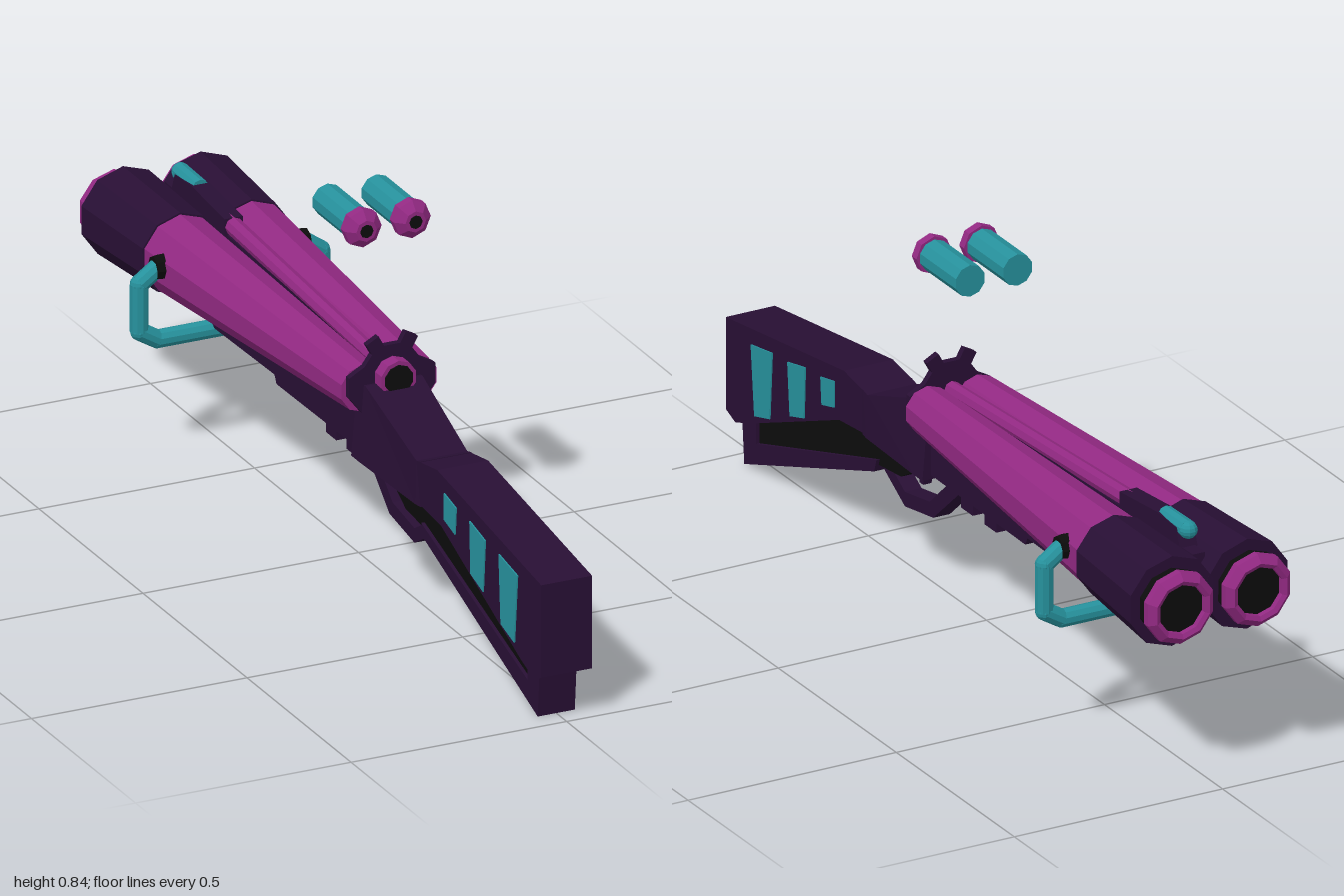
import * as THREE from 'three';

const mat = (name, color) => new THREE.MeshStandardMaterial({ name, color, flatShading: true });

export function createModel() {
  const purple = mat('dark purple', 0x280f34);
  const pink = mat('magenta', 0x922982);
  const teal = mat('teal', 0x26919c);
  const black = mat('black', 0x0c0c0c);
  const model = new THREE.Group();

  const add = (name, geometry, material) => {
    const mesh = new THREE.Mesh(geometry, material);
    mesh.name = name;
    model.add(mesh);
    return mesh;
  };
  const box = (name, material, w, h, d, x, y, z) => {
    const mesh = add(name, new THREE.BoxGeometry(w, h, d), material);
    mesh.position.set(x, y, z);
    return mesh;
  };
  // Side outline in [z, y], extruded across x and centred on cx
  const outline = (pts) => pts.map(([z, y]) => new THREE.Vector2(-z, y));
  const slab = (name, material, pts, width, cx = 0, hole = null) => {
    const shape = new THREE.Shape(outline(pts));
    if (hole) shape.holes.push(new THREE.Path(outline(hole)));
    const g = new THREE.ExtrudeGeometry(shape, { depth: width, bevelEnabled: false });
    g.translate(0, 0, -width / 2).rotateY(Math.PI / 2).translate(cx, 0, 0);
    return add(name, g, material);
  };
  // Tapered rod from a (radius ra) to b (radius rb)
  const rod = (name, material, a, b, ra, rb = ra, sides = 10) => {
    const from = new THREE.Vector3(...a), to = new THREE.Vector3(...b);
    const g = new THREE.CylinderGeometry(rb, ra, from.distanceTo(to), sides).rotateX(Math.PI / 2);
    const mesh = add(name, g, material);
    mesh.position.copy(from).lerp(to, 0.5);
    mesh.lookAt(to);
    return mesh;
  };
  // Loft of trapezoid sections [z, yBottom, yTop, halfBottom, halfTop], running from +z to -z
  const loft = (name, material, sections) => {
    const pos = [], idx = [];
    for (const [z, y0, y1, b, t] of sections) pos.push(-b, y0, z, b, y0, z, t, y1, z, -t, y1, z);
    for (let i = 0; i < sections.length - 1; i++) {
      for (let k = 0; k < 4; k++) {
        const a = i * 4 + k, c = i * 4 + (k + 1) % 4;
        idx.push(a, a + 4, c, c, a + 4, c + 4);
      }
    }
    const e = (sections.length - 1) * 4;
    idx.push(0, 1, 2, 0, 2, 3, e, e + 2, e + 1, e, e + 3, e + 2);
    const g = new THREE.BufferGeometry();
    g.setAttribute('position', new THREE.Float32BufferAttribute(pos, 3));
    g.setIndex(idx);
    g.computeVertexNormals();
    return add(name, g, material);
  };

  // Stock: wide upper body, narrow lower bar, black core between them
  slab('stockBody', purple, [[1, 0.32], [0.5, 0.39], [0.41, 0.375], [0.41, 0.28], [0.52, 0.27],
    [0.9, 0.115], [0.96, 0.095], [1, 0.11]], 0.118);
  slab('stockLowerBar', purple, [[0.96, 0.12], [0.95, 0], [0.4, 0.195], [0.39, 0.225], [0.9, 0.065], [0.9, 0.13]], 0.086);
  slab('stockCore', black, [[0.93, 0.12], [0.93, 0.05], [0.4, 0.21], [0.3, 0.22], [0.18, 0.29], [0.41, 0.33], [0.55, 0.3]], 0.07);

  // Receiver tapering from the wrist up to the breech
  loft('receiver', purple, [[0.42, 0.275, 0.378, 0.059, 0.059], [0.4, 0.275, 0.373, 0.062, 0.059],
    [0.17, 0.285, 0.455, 0.08, 0.066], [0.13, 0.285, 0.45, 0.08, 0.066]]);

  // Trigger guard and trigger
  slab('triggerGuard', purple, [[0.43, 0.235], [0.43, 0.215], [0.31, 0.145], [0.19, 0.165], [0.07, 0.27], [0.09, 0.31], [0.4, 0.27]],
    0.04, 0, [[0.385, 0.222], [0.31, 0.178], [0.205, 0.196], [0.125, 0.268], [0.2, 0.268], [0.3, 0.235]]);
  slab('trigger', purple, [[0.27, 0.28], [0.235, 0.28], [0.25, 0.215], [0.265, 0.215]], 0.02);

  // Forend under the barrels with two small lugs
  slab('forend', purple, [[0.14, 0.42], [0.14, 0.295], [-0.27, 0.29], [-0.28, 0.308], [-0.57, 0.302], [-0.61, 0.34], [-0.61, 0.42]], 0.12);
  box('forendLug', purple, 0.06, 0.05, 0.05, 0, 0.268, 0.03);
  box('forendLug', purple, 0.06, 0.05, 0.05, 0, 0.268, -0.07);

  // Breech plate with teeth and a ringed bore
  const plate = new THREE.Shape([[-0.065, 0.385], [0.065, 0.385], [0.1, 0.43], [0.1, 0.475], [0.064, 0.495],
    [0.035, 0.535], [-0.035, 0.535], [-0.064, 0.495], [-0.1, 0.475], [-0.1, 0.43]].map(p => new THREE.Vector2(...p)));
  add('breechPlate', new THREE.ExtrudeGeometry(plate, { depth: 0.015, bevelEnabled: false }).translate(0, 0, 0.147), purple);
  for (const s of [-1, 1]) {
    const tooth = box('breechTooth', purple, 0.032, 0.04, 0.015, s * 0.036, 0.533, 0.1545);
    tooth.rotation.z = -s * 0.5;
  }
  rod('breechRing', pink, [0, 0.467, 0.15], [0, 0.467, 0.193], 0.042);
  rod('breechBore', black, [0, 0.467, 0.17], [0, 0.467, 0.196], 0.033);

  // Muzzle ring profile, revolved about the bore
  const ringProfile = [[0.056, -0.02], [0.056, 0.03], [0.066, 0.035], [0.082, 0.02], [0.082, 0.004], [0.074, 0]]
    .reverse().map(p => new THREE.Vector2(...p));
  ringProfile.reverse();
  const ringGeometry = new THREE.LatheGeometry(ringProfile, 10).rotateX(-Math.PI / 2);
  const ringMaterial = pink;
  ringMaterial.side = THREE.DoubleSide;

  for (const s of [-1, 1]) {
    // Flared barrel, its dark sleeve and the muzzle
    const axis = (z) => { const t = (0.145 - z) / 1.09; return [s * (0.06 + 0.03 * t), 0.44 - 0.012 * t, z]; };
    const radius = (z) => 0.053 + 0.047 * (0.145 - z) / 1.09;
    rod('barrel', pink, axis(0.145), axis(-0.9), radius(0.145), radius(-0.9));
    rod('barrelSleeve', purple, axis(-0.685), axis(-0.945), radius(-0.685) + 0.004, 0.103);
    rod('muzzleCollar', black, [s * 0.093, 0.428, -0.93], [s * 0.093, 0.428, -0.968], 0.077);
    const ring = add('muzzleRing', ringGeometry, ringMaterial);
    ring.position.set(s * 0.093, 0.428, -0.965);
    rod('muzzleBore', black, [s * 0.093, 0.428, -0.95], [s * 0.093, 0.428, -0.982], 0.058);

    // Inlaid windows on each side of the stock
    for (const pts of [
      [[0.89, 0.3], [0.875, 0.142], [0.81, 0.16], [0.8, 0.315]],
      [[0.735, 0.32], [0.725, 0.2], [0.665, 0.218], [0.66, 0.336]],
      [[0.595, 0.34], [0.59, 0.278], [0.537, 0.292], [0.537, 0.352]],
    ]) slab('stockWindow', teal, pts, 0.006, s * 0.059);

    // Handle pivot and side arm
    rod('handlePivot', black, [s * 0.14, 0.442, -0.617], [s * 0.178, 0.442, -0.617], 0.031, 0.025, 8);
    const path = [[s * 0.168, 0.442, -0.617], [s * 0.211, 0.412, -0.617], [s * 0.211, 0.305, -0.617],
      [s * 0.17, 0.28, -0.617], [0, 0.28, -0.617]];
    for (let i = 0; i < path.length - 1; i++) {
      rod('handle', teal, path[i], path[i + 1], 0.02);
      if (i > 0) add('handleCorner', new THREE.SphereGeometry(0.02, 10, 8), teal).position.set(...path[i]);
    }

    // Floating cartridge
    const x = s * 0.057, y = 0.8;
    rod('cartridgeCase', teal, [x, y, -0.032], [x, y, 0.125], 0.036);
    rod('cartridgeRim', pink, [x, y, 0.12], [x, y, 0.14], 0.043, 0.043, 8);
    rod('cartridgeBase', pink, [x, y, 0.14], [x, y, 0.157], 0.043, 0.024, 8);
    rod('cartridgePrimer', black, [x, y, 0.15], [x, y, 0.159], 0.015, 0.015, 8);
  }

  // Rib between the barrels, rear rail and front sight
  rod('topRib', pink, [0, 0.472, 0.147], [0, 0.512, -0.62], 0.018, 0.02, 8);
  slab('ribWeb', purple, [[0.14, 0.475], [0.14, 0.4], [-0.9, 0.38], [-0.9, 0.5]], 0.03);
  slab('sightRail', purple, [[-0.6, 0.53], [-0.6, 0.49], [-0.86, 0.49], [-0.84, 0.54], [-0.76, 0.545]], 0.042);
  rod('frontSight', teal, [0, 0.535, -0.76], [0, 0.537, -0.855], 0.02);
  add('frontSightTip', new THREE.SphereGeometry(0.02, 10, 8), teal).position.set(0, 0.537, -0.855);

  return model;
}
